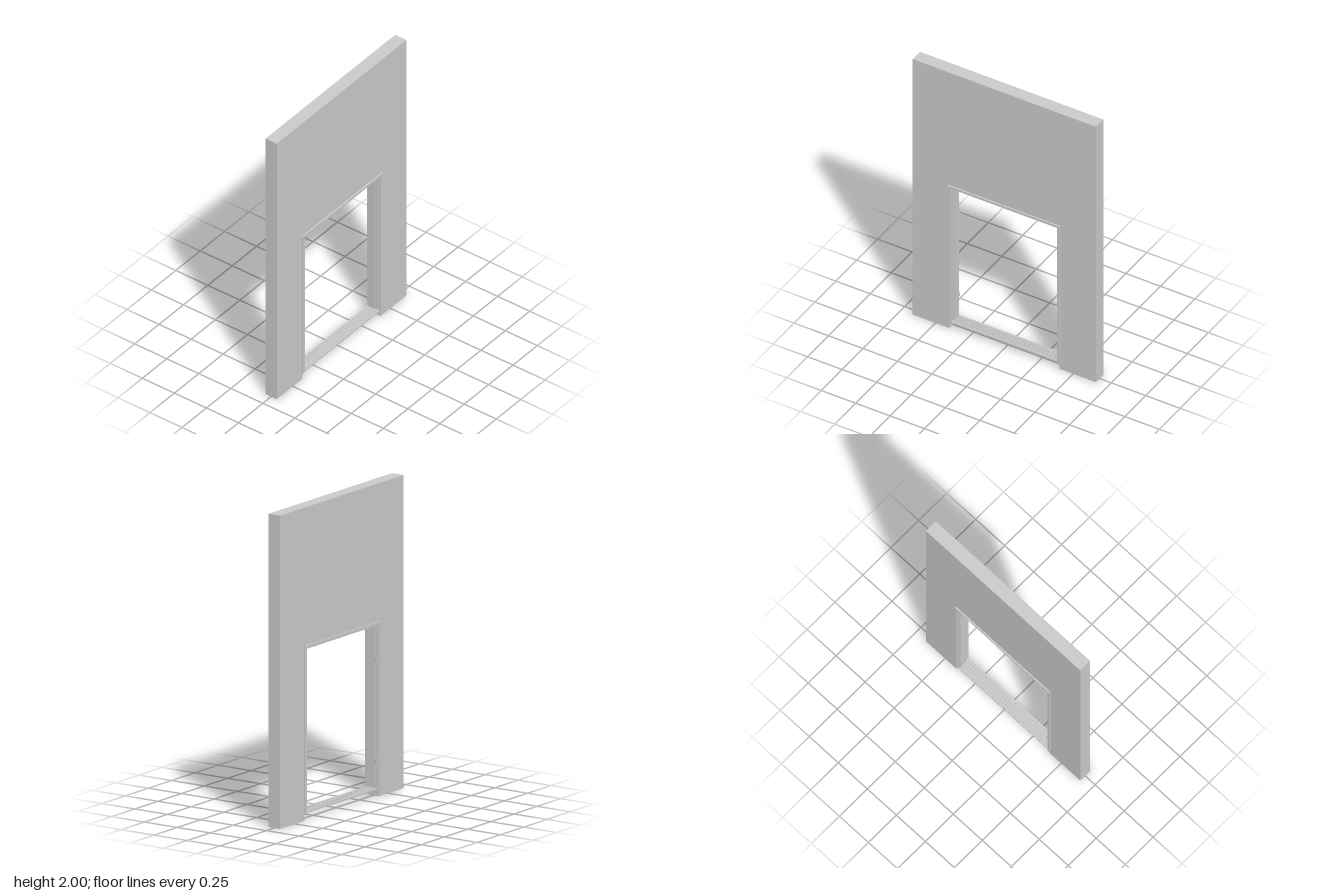
import * as THREE from 'three';

const SILL = 0.05;
const grey = new THREE.MeshStandardMaterial({ color: 0xcccccc });

export function createModel() {
  const model = new THREE.Group();
  const add = (name, geometry, x = 0, y = 0, z = 0) => {
    const mesh = new THREE.Mesh(geometry, grey);
    mesh.name = name;
    mesh.position.set(x, y, z);
    model.add(mesh);
  };

  // Arch-shaped outline around a doorway, extruded through the wall from x0 to x1
  const portal = (name, base, outerZ, outerY, innerZ, innerY, x0, x1) => {
    const shape = new THREE.Shape([
      [-outerZ, base], [-innerZ, base], [-innerZ, innerY], [innerZ, innerY],
      [innerZ, base], [outerZ, base], [outerZ, outerY], [-outerZ, outerY],
    ].map(([u, y]) => new THREE.Vector2(u, y)));
    const geometry = new THREE.ExtrudeGeometry(shape, { depth: x1 - x0, bevelEnabled: false });
    geometry.rotateY(-Math.PI / 2);
    add(name, geometry, x1);
  };

  // Wall with the doorway cut out down to the floor
  portal('wall', 0, 0.665, 2, 0.4, 1.112, -0.044, 0.044);

  // Casings overlapping both wall faces
  for (const s of [-1, 1]) {
    portal('casing', SILL, 0.408, 1.12, 0.39, 1.104, s * 0.0485 - 0.0055, s * 0.0485 + 0.0055);
  }

  // Stepped lining: outer jamb, rebate step and door stop
  portal('jambLining', SILL, 0.4, 1.112, 0.386, 1.1, -0.046, 0.046);
  portal('jambStep', SILL, 0.387, 1.101, 0.381, 1.095, -0.044, 0.03);
  portal('doorStop', SILL, 0.382, 1.096, 0.376, 1.09, -0.036, 0.018);

  // Threshold with fine ribs running along the doorway
  add('threshold', new THREE.BoxGeometry(0.09, 0.01, 0.8), 0, SILL, 0);
  for (let i = 0; i < 9; i++) {
    add('thresholdRib', new THREE.BoxGeometry(0.004, 0.003, 0.752), -0.032 + i * 0.008, SILL + 0.006, 0);
  }

  // Hinges and strike plate on each jamb
  for (const s of [-1, 1]) {
    for (const y of [0.225, 0.88]) {
      add('hingeKnuckle', new THREE.CylinderGeometry(0.004, 0.004, 0.028, 12), -0.038, y, s * 0.375);
      add('hingeLeaf', new THREE.BoxGeometry(0.016, 0.026, 0.002), -0.028, y, s * 0.376);
    }
    add('strikePlate', new THREE.BoxGeometry(0.008, 0.09, 0.002), 0.008, 0.6, s * 0.3755);
  }

  return model;
}
